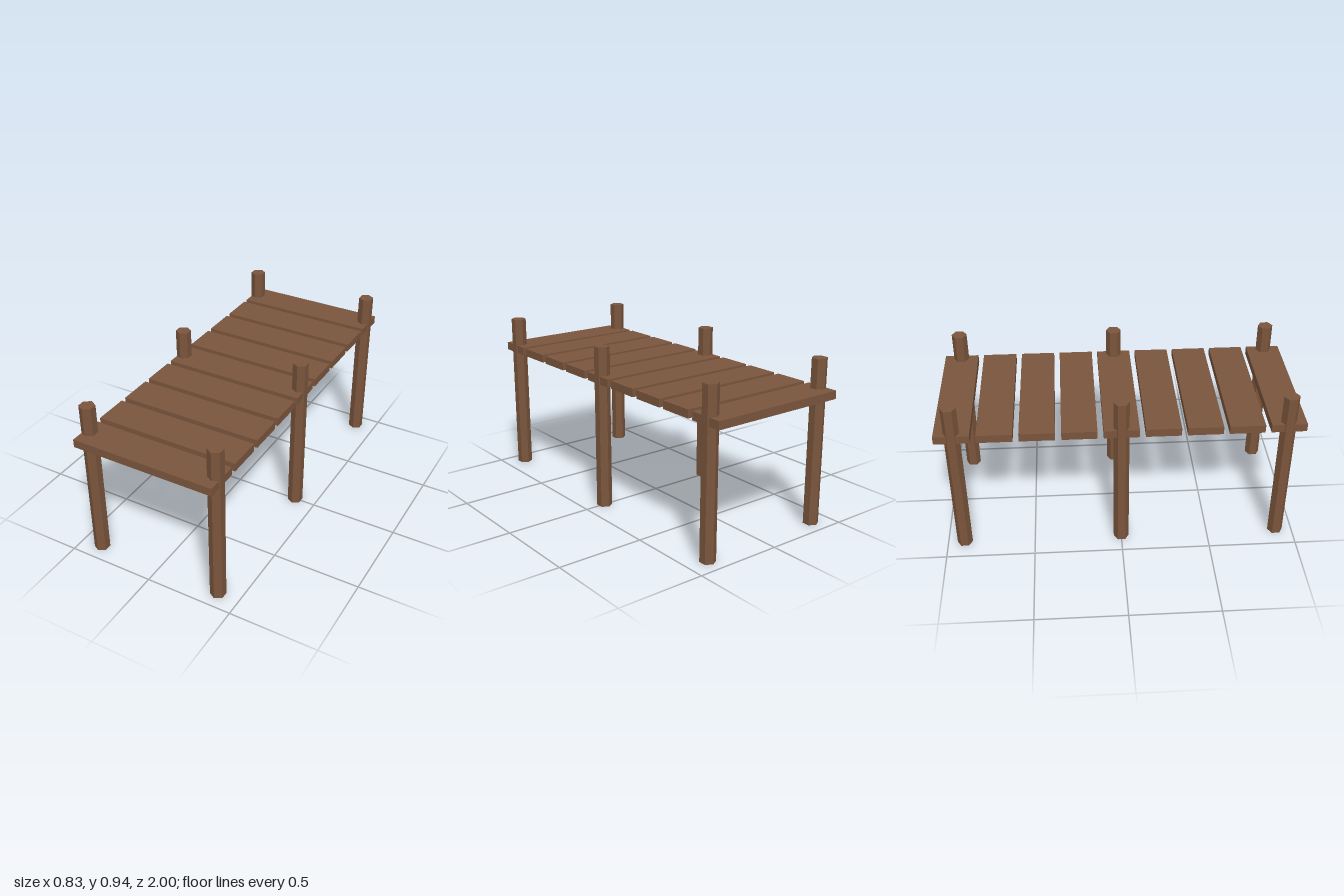
import * as THREE from 'three';

export function createModel() {
  const group = new THREE.Group();
  const wood = new THREE.MeshStandardMaterial({ color: 0x7a553c, flatShading: true });
  wood.name = 'brown wood';

  const add = (geometry, name, x, y, z) => {
    const mesh = new THREE.Mesh(geometry, wood);
    mesh.name = name;
    mesh.position.set(x, y, z);
    group.add(mesh);
  };

  // Deck: nine evenly spaced planks
  const plankCount = 9, plankDepth = 0.193, endZ = 1 - plankDepth / 2;
  const plank = new THREE.BoxGeometry(0.816, 0.046, plankDepth);
  for (let i = 0; i < plankCount; i++) {
    add(plank, `plank${i + 1}`, 0, 0.753, endZ - (i * 2 * endZ) / (plankCount - 1));
  }

  // Three pairs of hexagonal posts rising through the deck
  const height = 0.939;
  const post = new THREE.CylinderGeometry(0.0433, 0.0433, height, 6);
  for (const [row, z] of [['front', endZ], ['middle', 0], ['back', -endZ]]) {
    add(post, `${row}LeftPost`, 0.376, height / 2, z);
    add(post, `${row}RightPost`, -0.376, height / 2, z);
  }
  return group;
}
